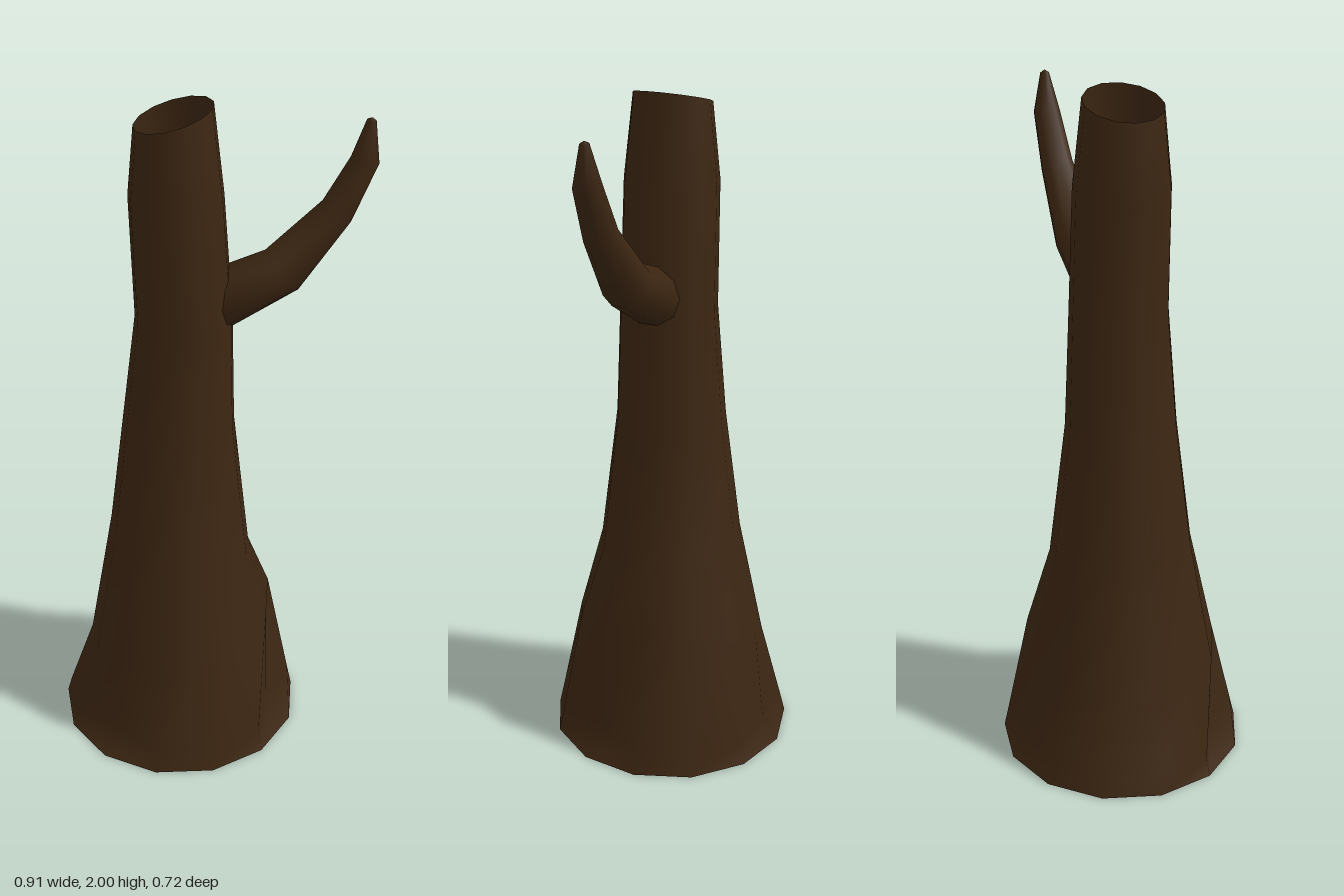
import * as THREE from 'three';

// Smooth skin over cross-sections [x, y, nx, ny, rz]: centre, in-plane half axis, depth radius
function loft(sections, sides, dent = () => 0) {
  const pos = [], index = [];
  sections.forEach(([x, y, nx, ny, rz], j) => {
    for (let k = 0; k < sides; k++) {
      const t = (k / sides) * Math.PI * 2;
      const s = 1 - dent(j, k);
      pos.push(x + nx * Math.sin(t) * s, y + ny * Math.sin(t) * s, -rz * Math.cos(t) * s);
      if (j === sections.length - 1) continue;
      const a = j * sides + k, b = j * sides + (k + 1) % sides;
      index.push(a, a + sides, b, b, a + sides, b + sides);
    }
  });
  const g = new THREE.BufferGeometry();
  g.setAttribute('position', new THREE.Float32BufferAttribute(pos, 3));
  g.setIndex(index);
  g.computeVertexNormals();
  return g;
}

export function createModel() {
  const group = new THREE.Group();
  const bark = new THREE.MeshStandardMaterial({ color: 0x3c2612, side: THREE.DoubleSide });
  bark.name = 'dark bark';
  const add = (name, geometry) => {
    const mesh = new THREE.Mesh(geometry, bark);
    mesh.name = name;
    group.add(mesh);
  };

  // Hollow trunk, flared at the foot, with a slanted open top
  const trunk = [
    [-0.095, 0, 0.365, 0, 0.365],
    [-0.095, 0.06, 0.351, 0.01, 0.351],
    [-0.092, 0.35, 0.278, 0.08, 0.286],
    [-0.088, 0.65, 0.208, -0.05, 0.212],
    [-0.09, 1.04, 0.163, 0, 0.162],
    [-0.072, 1.38, 0.138, 0, 0.142],
    [-0.09, 1.74, 0.131, 0, 0.137],
    [-0.095, 1.97, 0.107, 0.03, 0.112],
  ];
  // Gouges between the roots, just above the ground
  const gouges = { 0: 0.1, 4: 0.18, 8: 0.2 };
  add('trunk', loft(trunk, 13, (j, k) => (j === 1 ? gouges[k] || 0 : 0)));

  // Underside
  add('trunkBase', new THREE.CircleGeometry(0.365, 13, -Math.PI / 2)
    .rotateX(Math.PI / 2).translate(-0.095, 0, 0));

  // Bent branch: x, y, direction angle, radius (closed at both ends)
  const branch = [
    [0.02, 1.43, 0.45, 0],
    [0.02, 1.43, 0.45, 0.085],
    [0.198, 1.518, 0.72, 0.071],
    [0.343, 1.69, 0.97, 0.048],
    [0.412, 1.835, 1.4, 0.039],
    [0.424, 1.945, 1.4, 0.013],
    [0.425, 1.953, 1.4, 0],
  ].map(([x, y, a, r]) => [x, y, Math.sin(a) * r, -Math.cos(a) * r, r]);
  add('branch', loft(branch, 10));

  return group;
}
